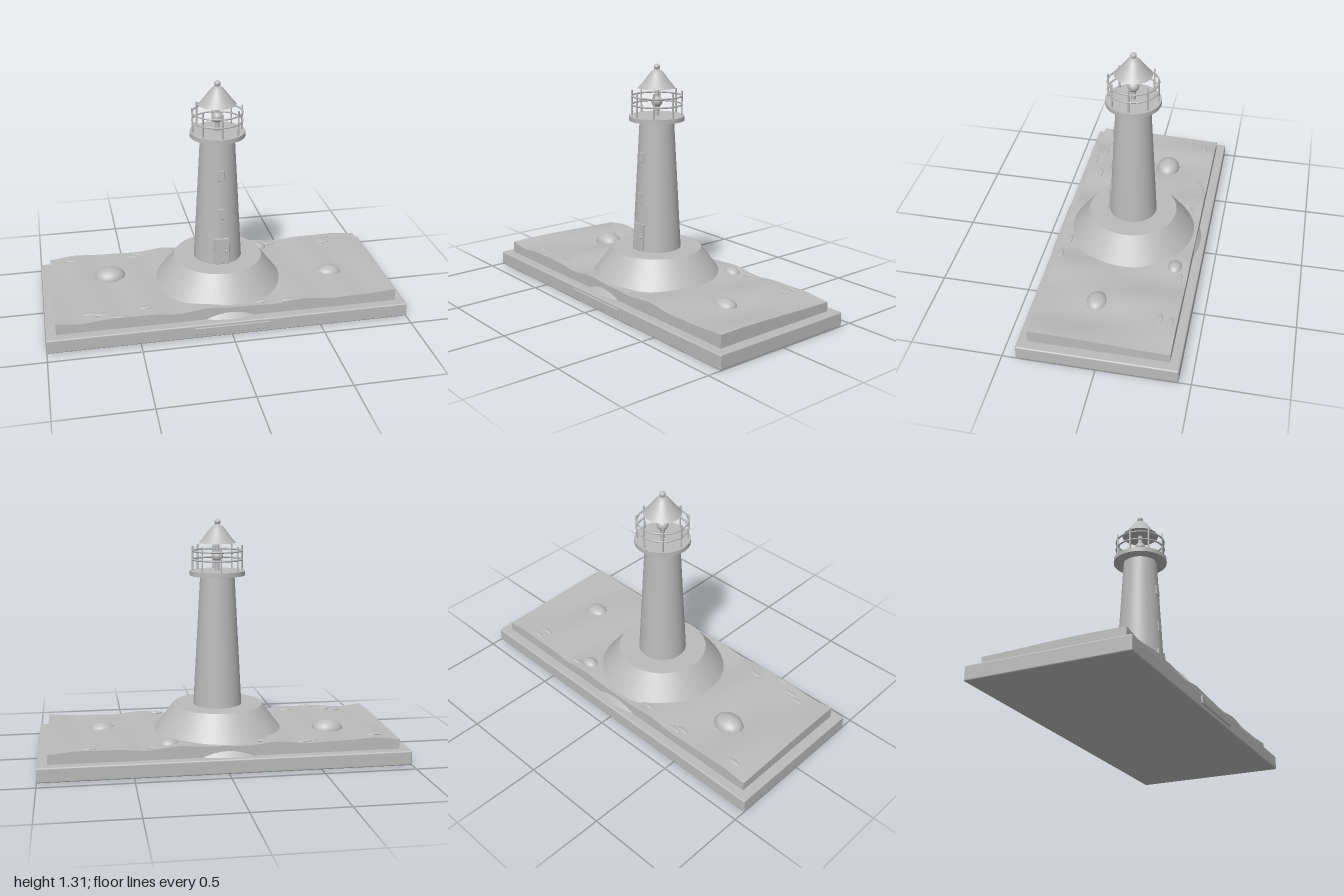
import * as THREE from 'three';
import { RoundedBoxGeometry } from 'three/addons/geometries/RoundedBoxGeometry.js';

const grey = new THREE.MeshStandardMaterial({ color: 0xbbbbbb, side: THREE.DoubleSide });
grey.name = 'plain grey';

// Height of the rippled sea surface
const seaHeight = (x, z) =>
  0.141 + 0.006 * Math.sin(13 * x + 5 * z + 0.6) + 0.003 * Math.sin(23 * x - 4 * z);

export function createModel() {
  const model = new THREE.Group();
  model.name = 'lighthouse';
  const body = new THREE.Group();
  body.name = 'lighthouseOnBase';
  body.position.z = -0.004; // the plaque stands out at the front
  model.add(body);

  const add = (name, geometry, x = 0, y = 0, z = 0) => {
    const mesh = new THREE.Mesh(geometry, grey);
    mesh.name = name;
    mesh.position.set(x, y, z);
    body.add(mesh);
    return mesh;
  };
  const cylinder = (name, rTop, rBottom, y0, y1, x = 0, z = 0, sides = 48) =>
    add(name, new THREE.CylinderGeometry(rTop, rBottom, y1 - y0, sides), x, (y0 + y1) / 2, z);

  // Plinth and plaque
  add('plinth', new RoundedBoxGeometry(2, 0.08, 0.86, 3, 0.008), 0, 0.04, 0);
  add('plaque', new RoundedBoxGeometry(0.41, 0.042, 0.02, 2, 0.003), 0, 0.044, 0.428);

  // Sea block with a rippled top
  const sea = new THREE.BoxGeometry(1.89, 0.06, 0.754, 90, 1, 30);
  const p = sea.attributes.position;
  for (let i = 0; i < p.count; i++) {
    p.setY(i, p.getY(i) > 0 ? seaHeight(p.getX(i), p.getZ(i)) : 0.078);
  }
  sea.computeVertexNormals();
  add('sea', sea);

  // Island and tower
  cylinder('island', 0.25, 0.4, 0.08, 0.28, 0, 0, 64);
  cylinder('tower', 0.095, 0.135, 0.28, 1.0);

  // Door and windows, leaning with the tower wall
  const fitting = (name, w, h, y, z, depth) => {
    const mesh = add(name, new RoundedBoxGeometry(w, h, depth, 2, 0.003), 0, y, z);
    mesh.rotation.x = -0.05;
  };
  fitting('door', 0.084, 0.155, 0.358, 0.126, 0.018);
  add('doorKnob', new THREE.SphereGeometry(0.008, 16, 12), 0.025, 0.36, 0.138);
  fitting('lowerWindow', 0.04, 0.06, 0.58, 0.113, 0.016);
  fitting('upperWindow', 0.04, 0.06, 0.805, 0.102, 0.016);

  // Gallery with railing
  cylinder('galleryFloor', 0.152, 0.152, 1.003, 1.028);
  for (let i = 0; i < 8; i++) {
    const a = (i * Math.PI) / 4;
    cylinder('railPost', 0.005, 0.005, 1.028, 1.165, 0.137 * Math.cos(a), 0.137 * Math.sin(a), 10);
  }
  for (const y of [1.09, 1.137]) {
    add('railRing', new THREE.TorusGeometry(0.137, 0.005, 8, 64), 0, y, 0).rotation.x = Math.PI / 2;
  }

  // Lamp on its pole
  cylinder('lampPole', 0.013, 0.013, 1.028, 1.2, 0, 0, 20);
  add('lamp', new THREE.SphereGeometry(0.031, 32, 20), 0, 1.106, 0);

  // Roof with ball finial
  const roof = [[0.103, 1.18], [0.085, 1.2], [0.067, 1.223], [0.05, 1.246], [0.035, 1.265],
    [0.022, 1.277], [0.01, 1.283], [0, 1.284]].map(([r, y]) => new THREE.Vector2(r, y));
  add('roof', new THREE.LatheGeometry(roof, 48));
  cylinder('roofUnderside', 0.1, 0.102, 1.18, 1.182);
  add('finial', new THREE.SphereGeometry(0.017, 24, 16), 0, 1.294, 0);

  // Rocks in the sea: x, z, radius along x, top height
  for (const [x, z, r, top] of [[-0.61, -0.107, 0.088, 0.19], [0.645, 0.073, 0.071, 0.172],
    [0.305, -0.297, 0.053, 0.168]]) {
    add('rock', new THREE.SphereGeometry(1, 32, 20), x, 0.13, z).scale.set(r, top - 0.13, r * 0.8);
  }

  // Flat foam crests: x, z
  for (const [x, z] of [[-0.82, -0.31], [-0.46, -0.32], [-0.42, -0.342], [-0.2, -0.32],
    [0.38, -0.337], [0.733, -0.342], [0.717, -0.283], [-0.76, 0.294], [-0.7, 0.316],
    [-0.604, 0.364], [-0.46, 0.3], [0.18, 0.337], [0.32, 0.358]]) {
    add('foamCrest', new THREE.SphereGeometry(1, 20, 12), x, seaHeight(x, z) + 0.001, z)
      .scale.set(0.04, 0.006, 0.015);
  }
  return model;
}
